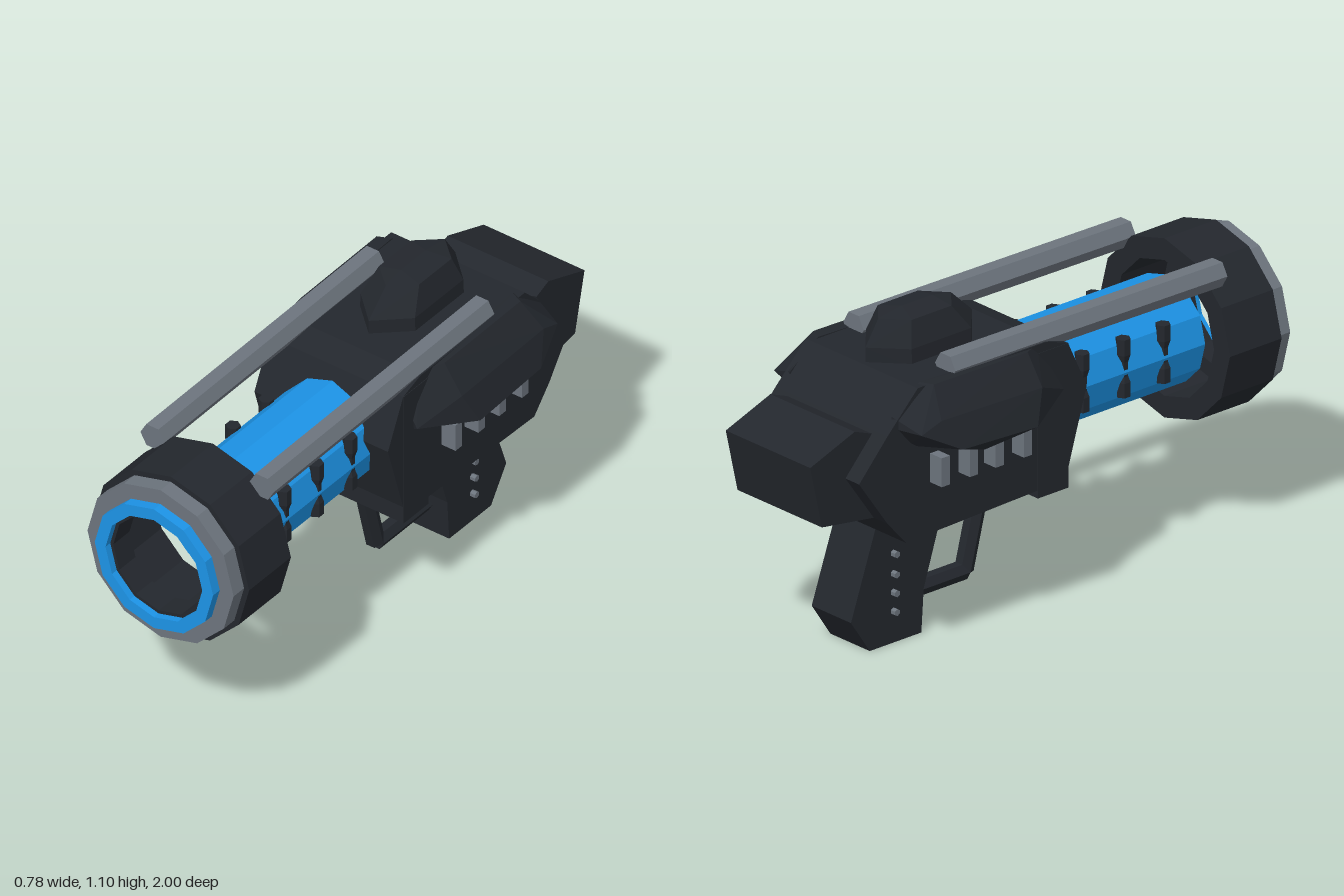
import * as THREE from 'three';
import { ConvexGeometry } from 'three/addons/geometries/ConvexGeometry.js';

const paint = (color) => new THREE.MeshStandardMaterial({ color, flatShading: true });

export function createModel() {
  const model = new THREE.Group();
  const dark = paint(0x23272d), grey = paint(0x6c747d), blue = paint(0x1c93e6);
  const AXIS = 0.695; // height of the barrel axis

  const add = (name, geometry, material, x = 0, y = 0, z = 0) => {
    const mesh = new THREE.Mesh(geometry, material);
    mesh.name = name;
    mesh.position.set(x, y, z);
    model.add(mesh);
    return mesh;
  };

  // Side profile given as [z, y] points, extruded across x
  const slab = (name, points, width, material) => {
    const shape = new THREE.Shape(points.map(([z, y]) => new THREE.Vector2(z, y)));
    const g = new THREE.ExtrudeGeometry(shape, { depth: width, bevelEnabled: false });
    g.translate(0, 0, -width / 2).rotateY(-Math.PI / 2);
    return add(name, g, material);
  };

  // Twelve-sided part turned around the barrel axis, from [radius, z] points
  const turned = (name, points, material) => {
    const g = new THREE.LatheGeometry(points.map(([r, z]) => new THREE.Vector2(r, z)), 12);
    return add(name, g.rotateX(Math.PI / 2), material, 0, AXIS, 0);
  };

  // Straight bar between two points
  const bar = (name, a, b, radius, sides, material) => {
    const from = new THREE.Vector3(...a), to = new THREE.Vector3(...b);
    const dir = to.clone().sub(from);
    const g = new THREE.CylinderGeometry(radius, radius, dir.length(), sides);
    g.rotateY(Math.PI / 2);
    const mesh = add(name, g, material);
    mesh.position.copy(from).add(to).multiplyScalar(0.5);
    mesh.quaternion.setFromUnitVectors(new THREE.Vector3(0, 1, 0), dir.normalize());
    return mesh;
  };

  // Main body, collar and rear block
  slab('body', [[0.04, 0.92], [-0.05, 0.95], [-0.6, 0.95], [-0.73, 0.82], [-0.85, 0.69],
    [-0.73, 0.52], [-0.65, 0.43], [0.03, 0.45], [0.12, 0.75]], 0.53, dark);
  slab('frontCollar', [[0.04, 0.42], [0.04, 0.92], [-0.09, 0.92], [-0.09, 0.42]], 0.534, dark);
  slab('rearBlock', [[-0.7, 0.515], [-0.95, 0.55], [-1, 0.77], [-0.81, 0.84], [-0.68, 0.79]], 0.4, dark);

  // Barrel
  turned('barrel', [[0, -0.05], [0.182, -0.05], [0.182, 0.7], [0, 0.7]], blue);

  // Hollow muzzle rings
  turned('muzzleRing', [[0.235, 0.69], [0.31, 0.69], [0.31, 0.91], [0.235, 0.91], [0.235, 0.69]], dark);
  turned('muzzleRim', [[0.2, 0.9], [0.29, 0.9], [0.29, 0.965], [0.2, 0.965], [0.2, 0.9]], grey);
  turned('muzzleLip', [[0.192, 0.96], [0.235, 0.96], [0.235, 1], [0.192, 1], [0.192, 0.96]], blue);
  turned('muzzleLiner', [[0.18, 0.89], [0.235, 0.89], [0.2, 0.975], [0.18, 0.975], [0.18, 0.89]], dark);

  // Faceted cap on top
  const cap = [];
  const hexagon = (rx, front, back, inset, y) => {
    for (const [x, z] of [[0, front], [rx, front - inset], [rx, back + inset], [0, back],
      [-rx, back + inset], [-rx, front - inset]]) cap.push(new THREE.Vector3(x, y, z));
  };
  hexagon(0.11, -0.13, -0.585, 0.1, 0.94);
  hexagon(0.108, -0.13, -0.585, 0.1, 1.0);
  hexagon(0.08, -0.22, -0.53, 0.07, 1.085);
  cap.push(new THREE.Vector3(0, 1.1, -0.3), new THREE.Vector3(0, 1.1, -0.43));
  add('topCap', new ConvexGeometry(cap), dark);

  // Paired parts
  const podPoints = [
    [0.24, 0.82, -0.02], [0.24, 0.94, -0.07], [0.24, 0.955, -0.57], [0.24, 0.87, -0.69],
    [0.24, 0.83, -0.69], [0.24, 0.75, -0.62], [0.24, 0.69, -0.37], [0.24, 0.74, -0.03],
    [0.29, 0.78, 0], [0.285, 0.95, -0.15], [0.285, 0.955, -0.55], [0.355, 0.85, -0.15],
    [0.355, 0.86, -0.58], [0.35, 0.83, -0.66], [0.39, 0.74, -0.2], [0.39, 0.755, -0.52],
    [0.325, 0.69, -0.37],
  ];
  const clipProfile = [[0, -0.1], [0.025, -0.1], [0.025, -0.05], [0.017, -0.03], [0.017, 0.02],
    [0.025, 0.045], [0.025, 0.1], [0, 0.1]].map(([r, y]) => new THREE.Vector2(r, y));

  for (const [side, s] of [['left', 1], ['right', -1]]) {
    const pod = podPoints.map(([x, y, z]) => new THREE.Vector3(s * x, y, z));
    add(side + 'Pod', new ConvexGeometry(pod), dark);

    bar(side + 'Rod', [s * 0.217, 0.95, 0.72], [s * 0.217, 0.962, -0.44], 0.048, 6, grey);

    for (const z of [-0.18, -0.3, -0.41, -0.53])
      add(side + 'Vent', new THREE.BoxGeometry(0.1, 0.1, 0.035), grey, s * 0.27, 0.66, z);

    for (const z of [0.19, 0.365, 0.535])
      add(side + 'BarrelClip', new THREE.LatheGeometry(clipProfile, 6), dark, s * 0.165, 0.71, z);
  }

  // Grip with pins through it
  slab('grip', [[-0.32, 0.46], [-0.61, 0.46], [-0.73, 0.12], [-0.65, 0], [-0.43, 0], [-0.42, 0.15]],
    0.186, dark);
  for (const y of [0.11, 0.175, 0.24, 0.31])
    bar('gripPin', [-0.113, y, -0.55], [0.113, y, -0.55], 0.012, 6, grey);

  // Trigger and guard
  slab('trigger', [[-0.3, 0.45], [-0.35, 0.45], [-0.345, 0.28], [-0.32, 0.28]], 0.035, grey);
  const guard = [[0.43, -0.33], [0.345, -0.105], [0.11, -0.165], [0.11, -0.44]];
  for (let i = 0; i < 3; i++)
    bar('triggerGuard', [0, ...guard[i]], [0, ...guard[i + 1]], 0.032, 6, dark);

  model.position.x = -0.005;
  return model;
}
